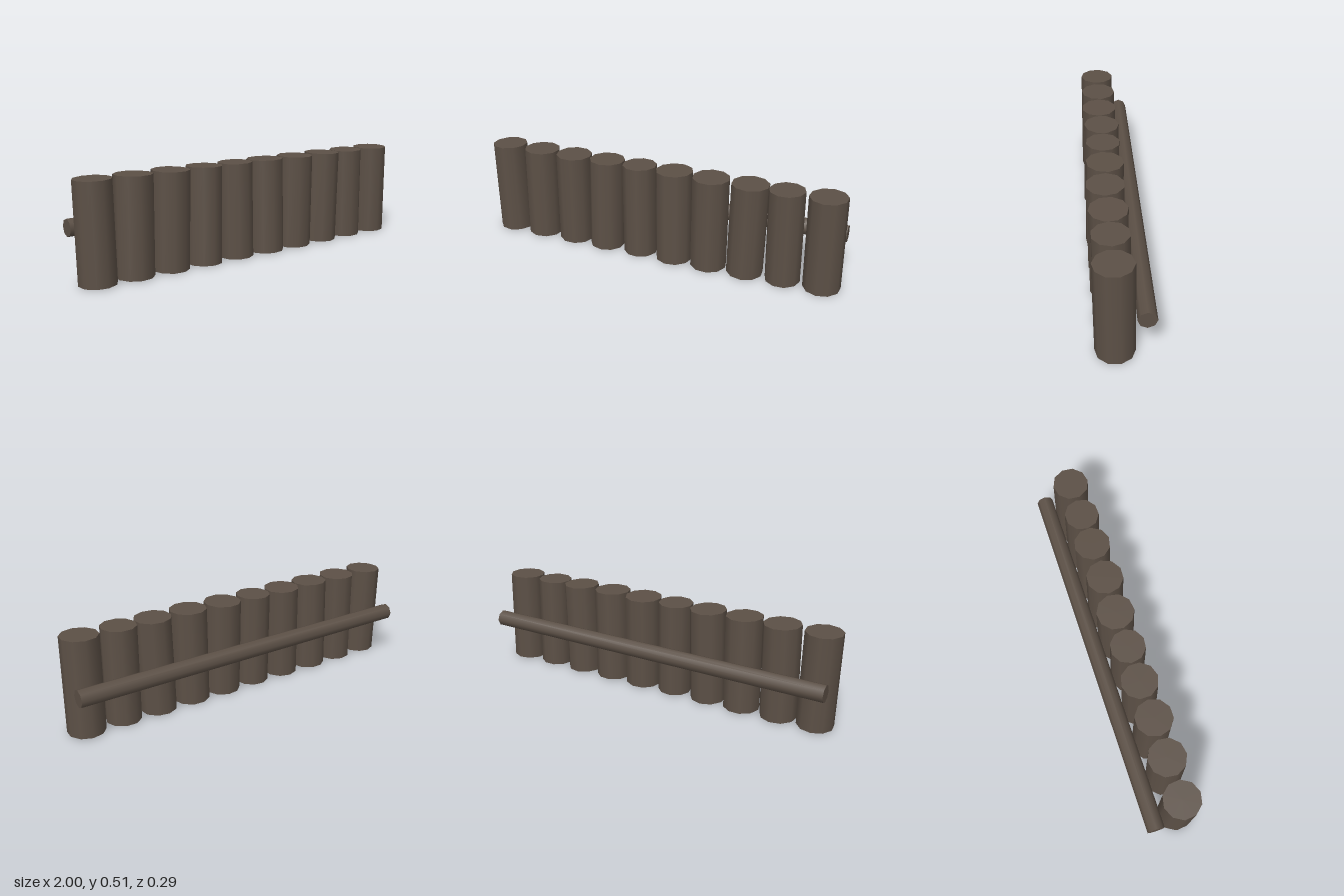
import * as THREE from 'three';

export function createModel() {
  const model = new THREE.Group();
  model.name = 'logPalisade';
  const wood = new THREE.MeshStandardMaterial({ color: 0x5c5046 });
  wood.name = 'darkWood';

  // Upright logs: [x, z, radius, lean in x, lean in z, turn]
  const logs = [
    [-0.908, 0.042, 0.095, -0.006, -0.004, 0.1],
    [-0.704, 0.042, 0.097, 0.008, -0.004, 0.5],
    [-0.500, 0.042, 0.097, 0.008, 0.004, 0.3],
    [-0.300, 0.042, 0.096, 0.009, -0.008, 0.0],
    [-0.102, 0.043, 0.092, -0.004, -0.005, 0.2],
    [0.097, 0.043, 0.099, -0.005, -0.008, 0.45],
    [0.298, 0.046, 0.098, 0.003, 0.004, 0.25],
    [0.502, 0.042, 0.097, 0.009, 0.004, 0.1],
    [0.697, 0.041, 0.092, -0.008, 0.006, 0.35],
    [0.900, 0.039, 0.096, -0.008, 0.008, 0.55],
  ];
  const up = new THREE.Vector3(0, 1, 0);
  logs.forEach(([x, z, radius, leanX, leanZ, turn], i) => {
    const geometry = new THREE.CylinderGeometry(radius, radius, 0.505, 10);
    geometry.rotateY(turn);
    const log = new THREE.Mesh(geometry, wood);
    log.name = 'log' + (i + 1);
    log.position.set(x, 0.257, z);
    // Lean is how far the top is shifted relative to the bottom
    log.quaternion.setFromUnitVectors(up, new THREE.Vector3(leanX, 0.505, leanZ).normalize());
    model.add(log);
  });

  // Octagonal rail behind the logs
  const rail = new THREE.Mesh(new THREE.CylinderGeometry(0.045, 0.045, 1.97, 8), wood);
  rail.name = 'backRail';
  rail.rotation.z = Math.PI / 2;
  rail.position.set(0, 0.258, -0.101);
  model.add(rail);

  return model;
}
